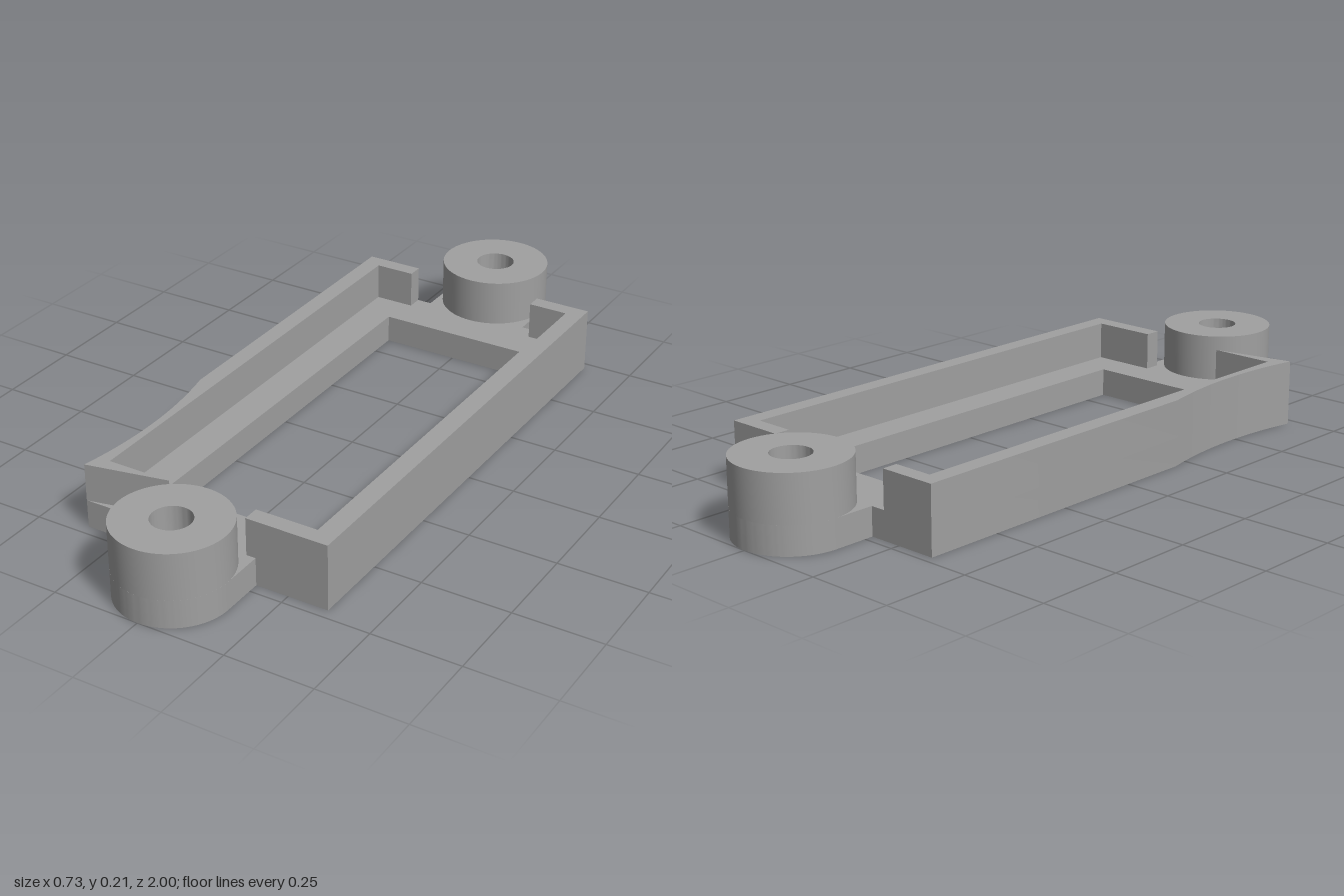
import * as THREE from 'three';
import { toCreasedNormals } from 'three/addons/utils/BufferGeometryUtils.js';

const HALF_W = 0.365, BACK = -0.725, FRONT = 0.72;
const FLOOR_H = 0.08, RIM_H = 0.187, BOSS_H = 0.212;
const BOSS_Z = 0.843, BOSS_R = 0.157, HOLE_R = 0.055;

export function createModel() {
  const group = new THREE.Group();
  group.name = 'mountingFrame';
  const grey = new THREE.MeshStandardMaterial({ color: 0xa0a0a0 });
  grey.name = 'grey plastic';

  // Plan shapes use (x, z); they are extruded from y0 up to y1
  function slab(name, shape, y0, y1) {
    const geo = new THREE.ExtrudeGeometry(shape, { depth: y1 - y0, bevelEnabled: false, curveSegments: 32 });
    geo.rotateX(Math.PI / 2).translate(0, y1, 0);
    const mesh = new THREE.Mesh(toCreasedNormals(geo, 0.5), grey);
    mesh.name = name;
    group.add(mesh);
  }
  const circle = (z, r) => new THREE.Path().absarc(0, z, r, 0, Math.PI * 2);

  // Shallow hollow scooped out of the right side wall, followed from front to back
  function hollowSide(shape) {
    const r = 1.23, cx = -1.565, cz = 0.47;
    shape.absarc(cx, cz, r, Math.asin((FRONT - cz) / r), -Math.asin((cz - 0.2) / r), true);
    shape.lineTo(-HALF_W, BACK);
  }

  // Floor with rounded end tabs, window and screw holes
  const floor = new THREE.Shape();
  floor.moveTo(HALF_W, BACK);
  floor.lineTo(HALF_W, FRONT);
  floor.lineTo(BOSS_R, FRONT);
  floor.absarc(0, BOSS_Z, BOSS_R, 0, Math.PI);
  floor.lineTo(-BOSS_R, FRONT);
  hollowSide(floor);
  floor.lineTo(-BOSS_R, BACK);
  floor.absarc(0, -BOSS_Z, BOSS_R, Math.PI, Math.PI * 2);
  floor.lineTo(BOSS_R, BACK);
  const win = [[-0.22, -0.58], [0.22, -0.58], [0.22, 0.575], [-0.22, 0.575]];
  floor.holes.push(
    new THREE.Path(win.map(([x, z]) => new THREE.Vector2(x, z))),
    circle(BOSS_Z, HOLE_R), circle(-BOSS_Z, HOLE_R));
  slab('floor', floor, 0, FLOOR_H);

  // Rim walls, open at both ends beside the bosses
  const inner = [[0.2, BACK], [0.2, -0.68], [0.315, -0.68], [0.315, 0.673], [0.13, 0.673], [0.13, FRONT]];
  const left = new THREE.Shape();
  left.moveTo(HALF_W, FRONT);
  left.lineTo(HALF_W, BACK);
  inner.forEach(([x, z]) => left.lineTo(x, z));
  slab('leftRim', left, FLOOR_H, RIM_H);

  const right = new THREE.Shape();
  right.moveTo(-0.13, FRONT);
  hollowSide(right);
  inner.slice(0, 5).forEach(([x, z]) => right.lineTo(-x, z));
  slab('rightRim', right, FLOOR_H, RIM_H);

  // Screw bosses
  for (const [name, z] of [['frontBoss', BOSS_Z], ['backBoss', -BOSS_Z]]) {
    const ring = new THREE.Shape().absarc(0, z, BOSS_R, 0, Math.PI * 2);
    ring.holes.push(circle(z, HOLE_R));
    slab(name, ring, FLOOR_H, BOSS_H);
  }
  return group;
}
